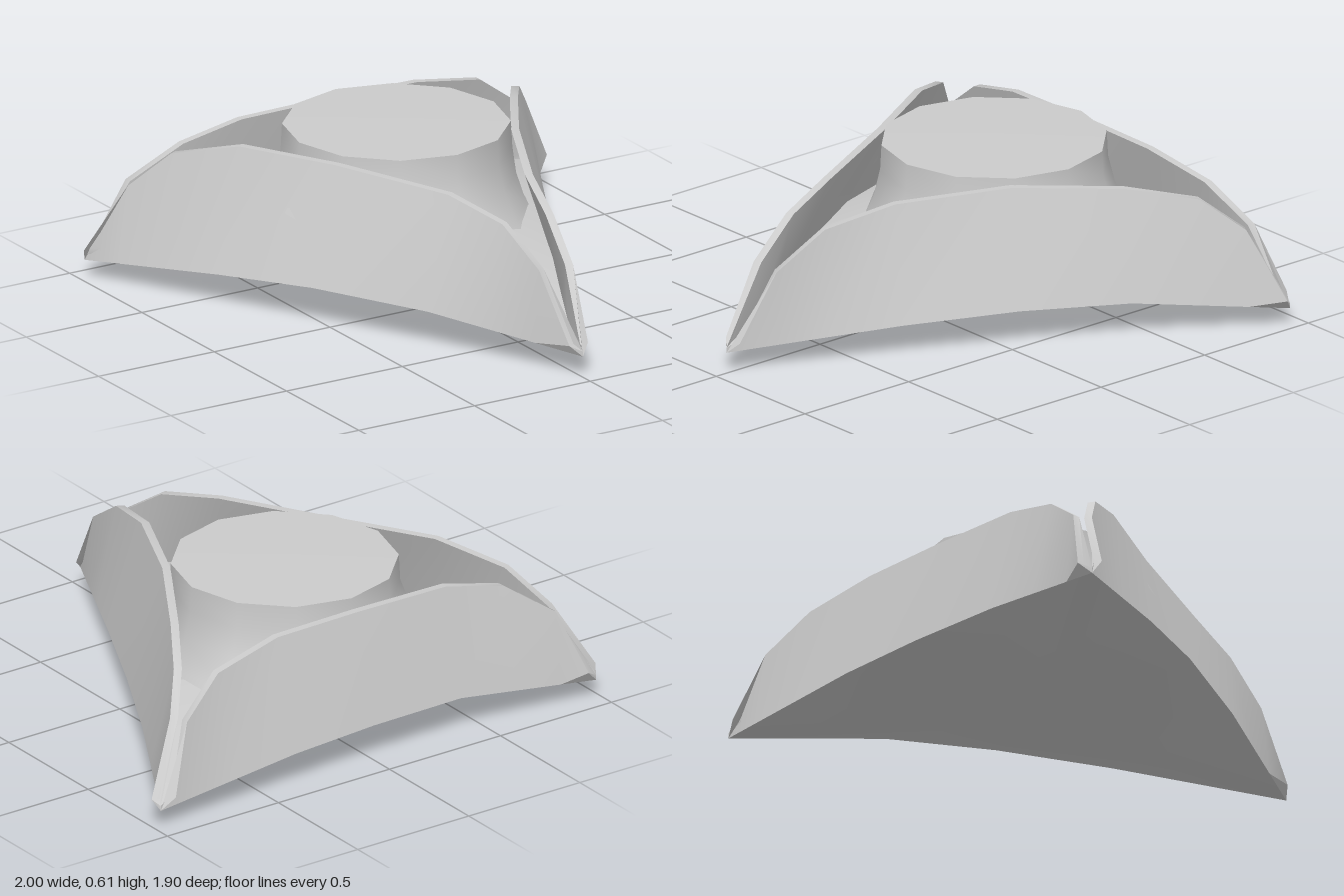
import * as THREE from 'three';
import { toCreasedNormals } from 'three/addons/utils/BufferGeometryUtils.js';

const V = (p) => new THREE.Vector3(...p);
const material = new THREE.MeshStandardMaterial({ color: 0xcccccc, side: THREE.DoubleSide });

function makeMesh(name, geometry, crease) {
  const mesh = new THREE.Mesh(toCreasedNormals(geometry, crease), material);
  mesh.name = name;
  return mesh;
}

function fromTriangles(points) {
  return new THREE.BufferGeometry().setFromPoints(points);
}

// Closed loop joined to one middle point; flip turns the surface downwards
function fan(centre, loop, flip) {
  const out = [];
  loop.forEach((p, i) => {
    const q = loop[(i + 1) % loop.length];
    if (p.distanceTo(q) < 1e-4) return;
    out.push(centre, flip ? q : p, flip ? p : q);
  });
  return fromTriangles(out);
}

// Point at fraction u along a chord-parametrised polyline
function along(knots, fractions, u) {
  let k = 0;
  while (k < knots.length - 2 && u > fractions[k + 1]) k++;
  const t = (u - fractions[k]) / (fractions[k + 1] - fractions[k]);
  return knots[k].clone().lerp(knots[k + 1], THREE.MathUtils.clamp(t, 0, 1));
}

// One upturned brim side: cross-sections outer foot, outer lip, inner lip, inner foot
function brimSections({ foot, lip }) {
  const knots = foot.map(V);
  const start = knots[0];
  const chord = knots[3].clone().sub(start).setY(0);
  const fraction = (p) => THREE.MathUtils.clamp(p.clone().sub(start).dot(chord) / chord.lengthSq(), 0, 1);
  const fractions = knots.map(fraction);
  const inward = new THREE.Vector3(chord.z, 0, -chord.x).normalize();
  return lip.map((l, i) => {
    const top = V(l);
    const atEnd = i === 0 || i === lip.length - 1;
    const u = i === 0 ? 0 : atEnd ? 1 : fraction(top);
    const bulge = atEnd ? 0 : Math.sin(Math.PI * u);
    const base = along(knots, fractions, u);
    const innerTop = top.clone().addScaledVector(inward, 0.03);
    const innerBase = base.clone().addScaledVector(inward, 0.05 * bulge ** 0.3);
    innerBase.y += 0.02 + 0.1 * bulge;
    return [base, top, innerTop, innerBase];
  });
}

function brimGeometry(sections) {
  const out = [];
  const quad = (a, b, c, d) => out.push(a, b, c, a, c, d);
  for (let i = 0; i < sections.length - 1; i++) {
    const s = sections[i], n = sections[i + 1];
    for (let k = 0; k < 3; k++) quad(s[k], n[k], n[k + 1], s[k + 1]);
  }
  const last = sections[sections.length - 1];
  quad(...sections[0]);
  quad(last[3], last[2], last[1], last[0]);
  return fromTriangles(out);
}

// Corner tips of the hat
const backRight = [-0.98, 0.07, -0.93];
const front = [0, 0.08, 0.95];
const backLeft = [0.98, 0.07, -0.93];

const brims = {
  rightBrim: {
    foot: [backRight, [-0.62, 0.15, -0.17], [-0.35, 0.15, 0.33], front],
    lip: [[-1, 0.12, -0.9], [-0.86, 0.37, -0.82], [-0.75, 0.51, -0.7], [-0.6, 0.58, -0.47],
      [-0.4, 0.575, -0.12], [-0.19, 0.555, 0.32], [-0.11, 0.5, 0.57], [-0.07, 0.37, 0.76], [-0.04, 0.12, 0.92]],
  },
  leftBrim: {
    foot: [front, [0.41, 0.14, 0.13], [0.67, 0.14, -0.37], backLeft],
    lip: [[0.04, 0.12, 0.92], [0.07, 0.37, 0.77], [0.11, 0.5, 0.57], [0.19, 0.555, 0.3],
      [0.38, 0.575, -0.1], [0.6, 0.545, -0.46], [0.75, 0.49, -0.69], [0.86, 0.37, -0.82], [1, 0.11, -0.9]],
  },
  backBrim: {
    foot: [backLeft, [0.22, 0.14, -0.91], [-0.38, 0.14, -0.89], backRight],
    lip: [[0.93, 0.12, -0.955], [0.83, 0.37, -0.885], [0.65, 0.5, -0.83], [0.36, 0.555, -0.8],
      [0, 0.56, -0.8], [-0.4, 0.555, -0.8], [-0.64, 0.5, -0.82], [-0.83, 0.37, -0.885], [-0.93, 0.12, -0.955]],
  },
};

// Twelve-sided crown, flaring at its foot towards the three corners
function crownGeometry() {
  const profile = [[0.56, 0.22], [0.5, 0.29], [0.45, 0.4], [0.425, 0.5], [0.42, 0.6], [0, 0.605]]
    .map(([r, y]) => new THREE.Vector2(r, y));
  const geometry = new THREE.LatheGeometry(profile, 12);
  const pos = geometry.attributes.position;
  for (let i = 0; i < pos.count; i++) {
    const x = pos.getX(i), y = pos.getY(i), z = pos.getZ(i);
    const flare = 1 + 0.07 * Math.max(0, (0.5 - y) / 0.28) * Math.cos(3 * Math.atan2(x, z));
    pos.setXYZ(i, x * flare, y, z * flare);
  }
  return geometry.translate(0, 0, -0.34);
}

export function createModel() {
  const hat = new THREE.Group();
  hat.name = 'threeCorneredHat';
  const footLoop = [], floorLoop = [];

  // Three upturned brim sides
  for (const [name, data] of Object.entries(brims)) {
    const sections = brimSections(data);
    hat.add(makeMesh(name, brimGeometry(sections), 0.6));
    for (const s of sections) {
      footLoop.push(s[0]);
      floorLoop.push(s[3]);
    }
  }

  // Brim floor inside the sides, and the shallow pointed underside
  hat.add(makeMesh('brimFloor', fan(V([0, 0.42, -0.34]), floorLoop, false), 0.8));
  hat.add(makeMesh('underside', fan(V([0, 0, -0.26]), footLoop, true), 0.8));
  hat.add(makeMesh('crown', crownGeometry(), 0.8));
  return hat;
}
